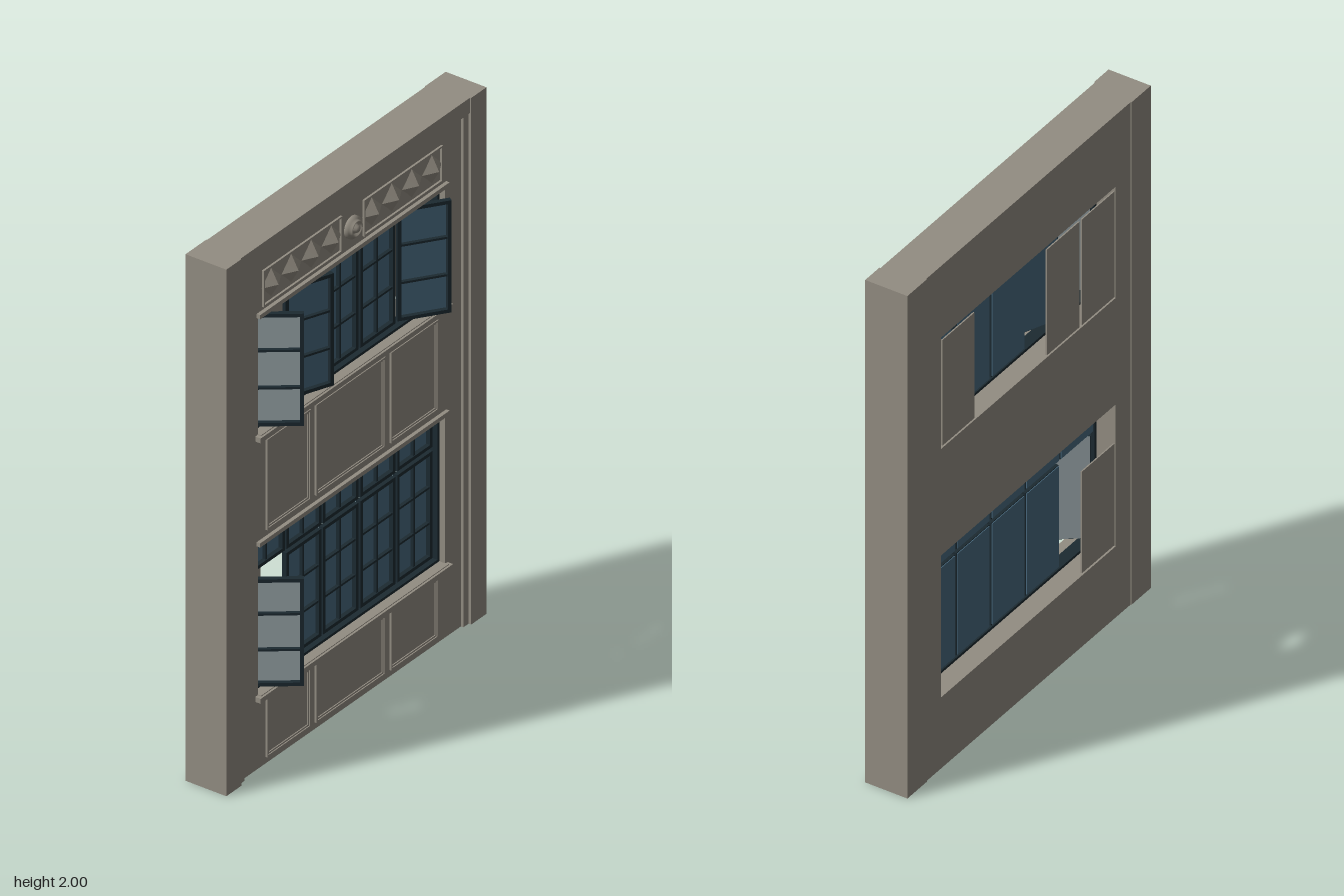
import * as THREE from 'three';

const mat = (name, color) => {
  const m = new THREE.MeshStandardMaterial({ color });
  m.name = name;
  return m;
};

export function createModel() {
  const model = new THREE.Group();
  model.name = 'windowFacade';
  const stone = mat('stone', 0x938d82);
  const metal = mat('darkFrame', 0x1c2a31);
  const glass = mat('blueGlass', 0x48697e);
  const pale = mat('paleGlass', 0x9aa7ab);

  // Box given by its min and max on each axis
  const box = (name, x0, x1, y0, y1, z0, z1, m = stone, parent = model) => {
    const mesh = new THREE.Mesh(new THREE.BoxGeometry(x1 - x0, y1 - y0, z1 - z0), m);
    mesh.position.set((x0 + x1) / 2, (y0 + y1) / 2, (z0 + z1) / 2);
    mesh.name = name;
    parent.add(mesh);
    return mesh;
  };
  const trace = (p, x0, x1, y0, y1) =>
    p.moveTo(x0, y0).lineTo(x1, y0).lineTo(x1, y1).lineTo(x0, y1).closePath();

  // Rectangular plate with rectangular holes
  const plate = (name, outer, holes, z0, z1, m = stone) => {
    const shape = new THREE.Shape();
    trace(shape, ...outer);
    holes.forEach(h => {
      const path = new THREE.Path();
      trace(path, ...h);
      shape.holes.push(path);
    });
    const mesh = new THREE.Mesh(
      new THREE.ExtrudeGeometry(shape, { depth: z1 - z0, bevelEnabled: false }), m);
    mesh.position.z = z0;
    mesh.name = name;
    model.add(mesh);
  };
  const ring = (name, [x0, x1, y0, y1], t, z0, z1, m) =>
    plate(name, [x0, x1, y0, y1], [[x0 + t, x1 - t, y0 + t, y1 - t]], z0, z1, m);

  // Wall with two openings, side piers and header
  const FACE = 0.022;
  const upper = [-0.512, 0.512, 1.272, 1.715];
  const lower = [-0.512, 0.512, 0.283, 0.848];
  plate('wall', [-0.6, 0.6, 0, 2], [upper, lower], -0.12, FACE);
  for (const s of [-1, 1]) {
    const side = (name, a, b, y1, z0, z1) =>
      box(name, Math.min(s * a, s * b), Math.max(s * a, s * b), 0, y1, z0, z1);
    side('pier', 0.6, 0.714, 2, -0.123, FACE);
    side('pierFace', 0.63, 0.714, 2, FACE, 0.042);
    side('pierStep', 0.6, 0.63, 1.942, FACE, 0.032);
  }
  box('header', -0.63, 0.63, 1.942, 2, FACE, 0.038);

  // Sills, lintels and dark surrounds
  for (const o of [upper, lower]) {
    box('sill', -0.528, 0.528, o[2] - 0.022, o[2] - 0.003, FACE, 0.044);
    box('sillMoulding', -0.515, 0.515, o[2] - 0.01, o[2], FACE - 0.01, 0.036);
    box('lintel', -0.52, 0.52, o[3], o[3] + 0.016, FACE, 0.036);
    ring('windowSurround', o, 0.01, -0.045, 0, metal);
  }

  // Moulded wall panels
  for (const [y0, y1] of [[0.888, 1.232], [0.025, 0.252]])
    for (const [x0, x1] of [[-0.472, -0.232], [-0.202, 0.178], [0.208, 0.468]]) {
      ring('panelMoulding', [x0, x1, y0, y1], 0.007, FACE, 0.03);
      ring('panelInnerMoulding', [x0 + 0.007, x1 - 0.007, y0 + 0.007, y1 - 0.007], 0.006, FACE, 0.026);
    }

  // Frieze of pointed studs
  const stud = new THREE.ConeGeometry(1, 0.03, 8, 1).toNonIndexed();
  stud.rotateX(Math.PI / 2);
  const p = stud.attributes.position;
  for (let i = 0; i < p.count; i++) {
    const x = p.getX(i), y = p.getY(i), r = Math.hypot(x, y);
    if (r < 0.5) continue;
    const k = Math.abs(x * y) > 0.2 ? 0.037 : 0.054;
    p.setXY(i, x * k, y * k);
  }
  stud.computeVertexNormals();
  for (const s of [-1, 1]) {
    const c = s * 0.276;
    ring('friezeBorder', [c - 0.216, c + 0.216, 1.745, 1.882], 0.006, FACE, 0.03);
    for (let i = 0; i < 4; i++) {
      const mesh = new THREE.Mesh(stud, stone);
      mesh.position.set(c + (i - 1.5) * 0.11, 1.814, FACE + 0.015);
      mesh.name = 'stud';
      model.add(mesh);
    }
  }

  // Round medallion
  const profile = [[0, 0.03], [0.012, 0.028], [0.016, 0.016], [0.022, 0.016], [0.025, 0.024],
    [0.03, 0.024], [0.032, 0.012], [0.041, 0.012], [0.041, 0]].reverse();
  const medallion = new THREE.Mesh(
    new THREE.LatheGeometry(profile.map(q => new THREE.Vector2(...q)), 28), stone);
  medallion.rotation.x = Math.PI / 2;
  medallion.position.set(0, 1.81, FACE);
  medallion.name = 'medallion';
  model.add(medallion);

  // Glazed light hinged on its left edge; glass sits behind the bars
  const light = (name, x, y0, y1, w, cols, rows, angle = 0, pane = glass) => {
    const g = new THREE.Group();
    g.name = name;
    const h = y1 - y0, t = 0.013;
    box('stile', 0, t, 0, h, -0.008, 0.01, metal, g);
    box('stile', w - t, w, 0, h, -0.008, 0.01, metal, g);
    box('rail', t, w - t, 0, t, -0.008, 0.01, metal, g);
    box('rail', t, w - t, h - t, h, -0.008, 0.01, metal, g);
    for (let i = 1; i < cols; i++)
      box('glazingBar', w * i / cols - 0.004, w * i / cols + 0.004, t, h - t, -0.006, 0.007, metal, g);
    for (let i = 1; i < rows; i++)
      box('glazingBar', t, w - t, h * i / rows - 0.004, h * i / rows + 0.004, -0.006, 0.007, metal, g);
    box('pane', 0.003, w - 0.003, 0.003, h - 0.003, -0.011, -0.006, pane, g);
    g.position.set(x, y0, -0.03);
    g.rotation.y = -angle * Math.PI / 180;
    model.add(g);
  };
  const W = 0.193, X = [-0.502, -0.3, -0.098, 0.106, 0.309];

  // Upper window: two fixed lights, three open casements
  const uy = [1.281, 1.707];
  light('openCasement', X[0], ...uy, 0.185, 1, 3, 52, pale);
  light('openCasement', X[1], ...uy, 0.185, 1, 3, 22);
  light('fixedLight', X[2], ...uy, W, 2, 3);
  light('fixedLight', X[3], ...uy, W, 2, 3);
  light('openCasement', X[4] + 0.01, ...uy, 0.185, 1, 3, 35);

  // Lower window: top lights over four fixed lights and one open casement
  X.forEach((x, i) => {
    light('topLight', x, 0.715, 0.84, W, 2, 1);
    if (i) light('fixedLight', x, 0.293, 0.7, W, 2, 3);
  });
  light('openCasement', X[0], 0.293, 0.7, 0.185, 1, 3, 52, pale);

  // Inner boards behind the open casements
  for (const [x0, x1, y0, y1] of [[-0.5, -0.31, 1.284, 1.704], [-0.295, -0.105, 1.284, 1.704],
    [0.32, 0.508, 1.284, 1.704], [-0.5, -0.31, 0.296, 0.7]])
    box('innerBoard', x0, x1, y0, y1, -0.123, -0.118);

  return model;
}
